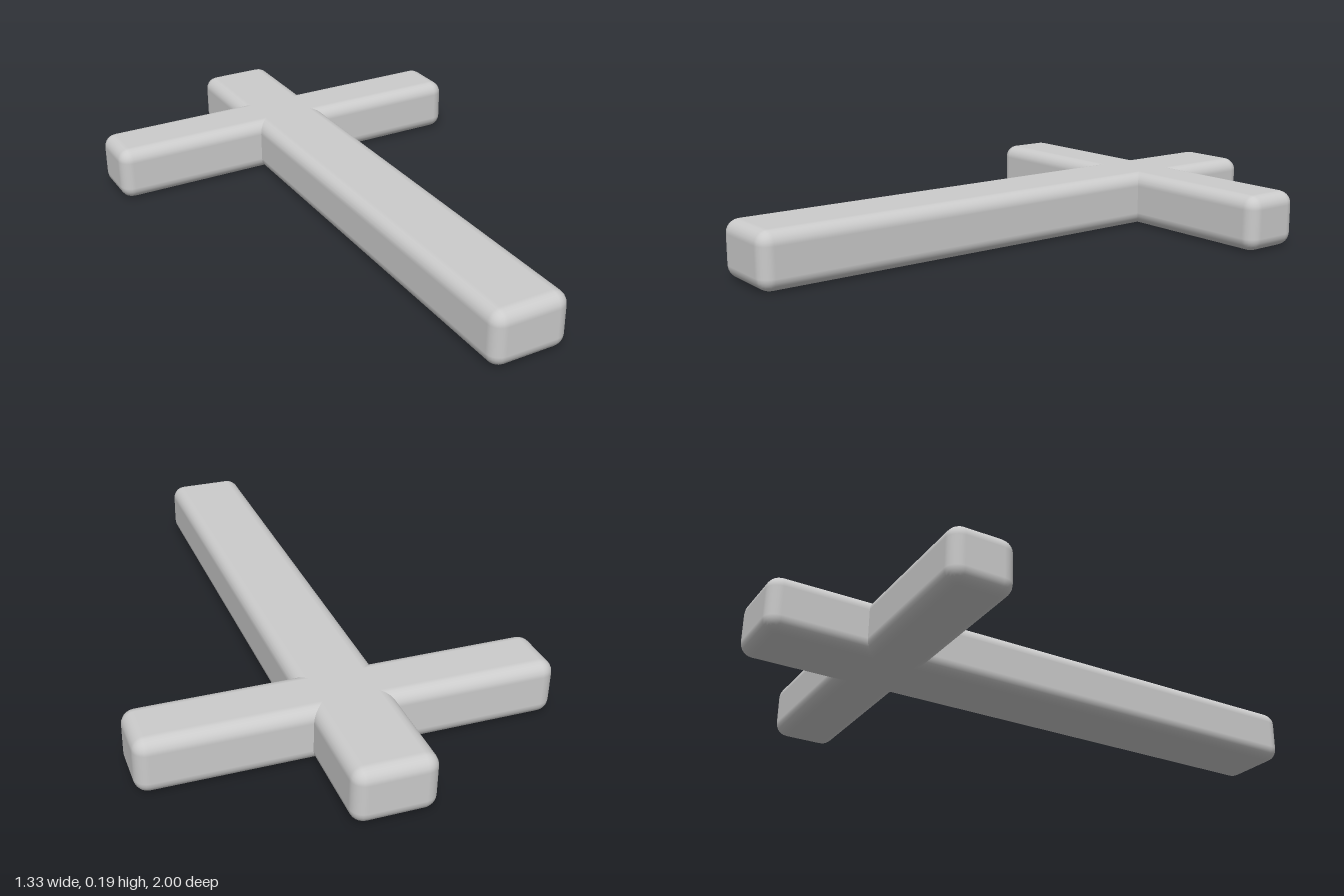
import * as THREE from 'three';
import { RoundedBoxGeometry } from 'three/addons/geometries/RoundedBoxGeometry.js';

const HEIGHT = 0.185;
const BEVEL = 0.044;

export function createModel() {
  const group = new THREE.Group();
  group.name = 'cross';
  const material = new THREE.MeshStandardMaterial({ color: 0xcccccc });

  // A soft-edged beam lying on the ground
  function addBeam(name, width, length, z) {
    const beam = new THREE.Mesh(new RoundedBoxGeometry(width, HEIGHT, length, 3, BEVEL), material);
    beam.name = name;
    beam.position.set(0, HEIGHT / 2, z);
    group.add(beam);
  }

  // Long beam and the shorter beam crossing it near the back
  addBeam('upright', 0.264, 2, 0);
  addBeam('crossbar', 1.33, 0.212, -0.574);

  return group;
}
